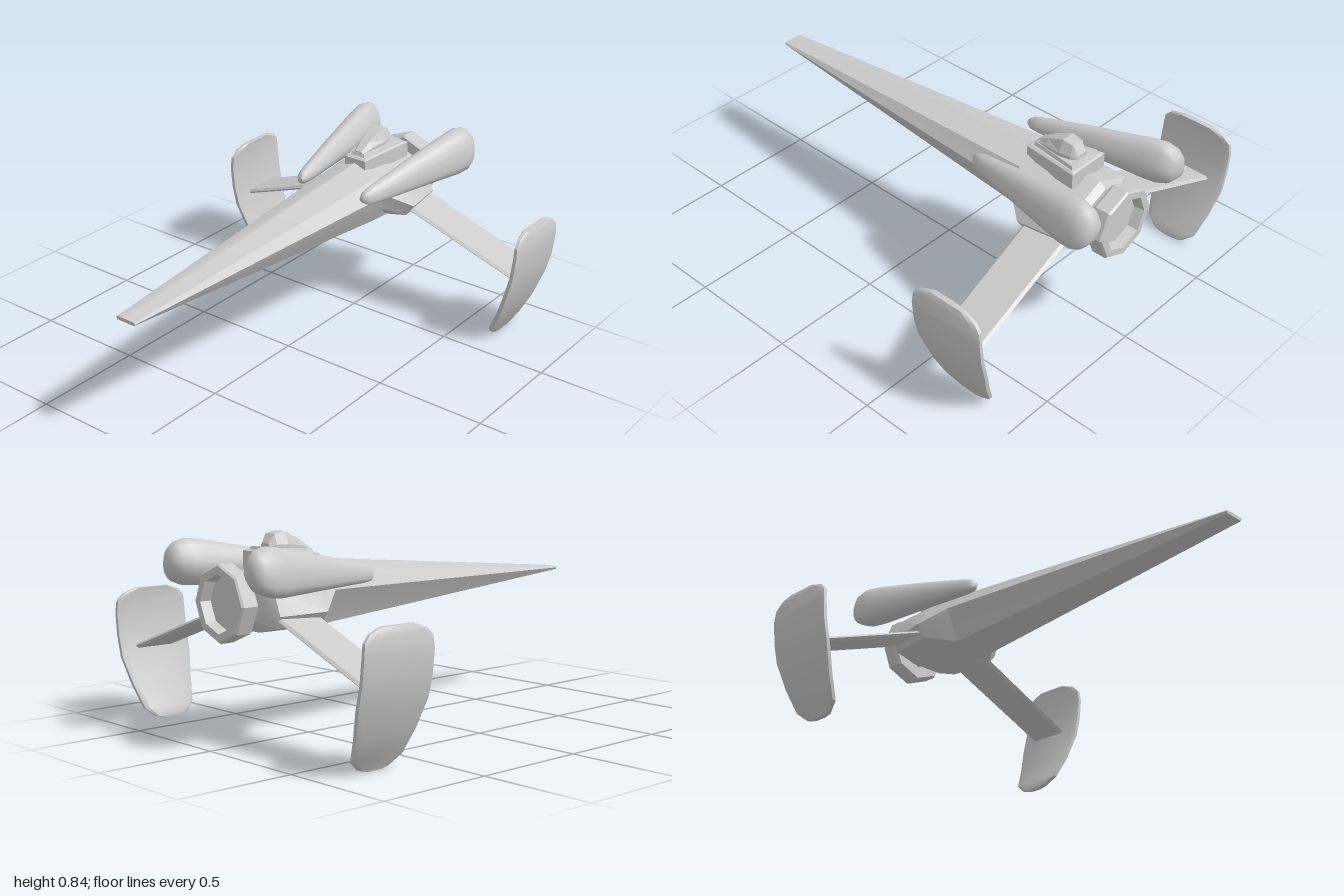
import * as THREE from 'three';
import { toCreasedNormals } from 'three/addons/utils/BufferGeometryUtils.js';

const material = new THREE.MeshStandardMaterial({ color: 0xcccccc });

function addMesh(parent, name, geometry, crease = 0.5) {
  const mesh = new THREE.Mesh(toCreasedNormals(geometry, crease), material);
  mesh.name = name;
  parent.add(mesh);
  return mesh;
}

// Skin between rings of [x, y, z]; rings run counter-clockwise seen from the end the loft moves toward.
function loft(rings) {
  const n = rings[0].length, last = rings.length - 1;
  const positions = rings.flat(2), index = [];
  const centre = (ring) => [0, 1, 2].map((k) => ring.reduce((s, p) => s + p[k], 0) / n);
  positions.push(...centre(rings[0]), ...centre(rings[last]));
  const startCap = n * rings.length, endCap = startCap + 1;
  for (let j = 0; j < n; j++) {
    const k = (j + 1) % n;
    for (let i = 0; i < last; i++) {
      const a = i * n + j, b = i * n + k;
      index.push(a, b, b + n, a, b + n, a + n);
    }
    index.push(startCap, k, j, endCap, last * n + j, last * n + k);
  }
  const geometry = new THREE.BufferGeometry();
  geometry.setAttribute('position', new THREE.Float32BufferAttribute(positions, 3));
  geometry.setIndex(index);
  geometry.computeVertexNormals();
  return geometry;
}

// Builds a left (+x) part and its mirror image.
function addPair(parent, name, rings, crease) {
  const mirrored = rings.map((ring) => ring.map(([x, y, z]) => [-x, y, z]).reverse());
  addMesh(parent, name + 'Left', loft(rings), crease);
  addMesh(parent, name + 'Right', loft(mirrored), crease);
}

// Long tapered hull: half sections of [x, y] from keel to ridge, back to front
function addHull(group) {
  const sections = [
    [-0.84, [[0.05, 0.49], [0.1, 0.51], [0.13, 0.57], [0.1, 0.65], [0, 0.69]]],
    [-0.81, [[0.08, 0.46], [0.18, 0.485], [0.21, 0.535], [0.17, 0.64], [0, 0.715]]],
    [-0.6, [[0.1, 0.462], [0.205, 0.485], [0.245, 0.54], [0.17, 0.65], [0, 0.738]]],
    [-0.49, [[0.1, 0.468], [0.133, 0.539], [0.165, 0.61], [0.115, 0.685], [0, 0.728]]],
    [1, [[0.044, 0.572], [0.047, 0.576], [0.05, 0.58], [0.045, 0.586], [0, 0.588]]],
  ];
  const rings = sections.map(([z, half]) => [
    ...half.map(([x, y]) => [x, y, z]),
    ...half.slice(0, -1).reverse().map(([x, y]) => [-x, y, z]),
  ]);
  addMesh(group, 'hull', loft(rings), 0.45);
}

// Stepped cockpit tray and faceted canopy
function addCockpit(group) {
  const layers = [[0.68, 0], [0.748, 0], [0.754, 0.01], [0.754, 0.018], [0.768, 0.024]];
  const tray = layers.map(([y, inset]) => {
    const back = -0.75 + inset, front = -0.48 - inset;
    const corner = (z, x) => [x, y + (-0.48 - z) * 0.07, z];
    return [corner(back, -0.1 + inset), corner(front, -0.055 + inset),
      corner(front, 0.055 - inset), corner(back, 0.1 - inset)];
  });
  addMesh(group, 'cockpitTray', loft(tray), 0.2);

  // z, half width, top half width, shoulder height, top height
  const canopy = [
    [-0.715, 0.03, 0.02, 0.785, 0.8], [-0.69, 0.045, 0.028, 0.795, 0.838],
    [-0.64, 0.053, 0.03, 0.795, 0.846], [-0.56, 0.04, 0.022, 0.785, 0.81],
    [-0.505, 0.026, 0.015, 0.768, 0.775],
  ].map(([z, w, t, mid, top]) => [
    [w, 0.74, z], [w, mid, z], [t, top, z], [-t, top, z], [-w, mid, z], [-w, 0.74, z],
  ]);
  addMesh(group, 'canopy', loft(canopy), 0.2);
}

// Octagonal engine nozzle with neck and recessed outlet
function addEngine(group) {
  const profile = [[0.092, 0.78], [0.092, 0.868], [0.148, 0.868], [0.157, 0.88], [0.157, 0.942],
    [0.15, 0.95], [0.118, 0.95], [0.11, 0.905], [0, 0.905]].map(([r, y]) => new THREE.Vector2(r, y));
  const nozzle = new THREE.LatheGeometry(profile, 8);
  nozzle.rotateX(-Math.PI / 2);
  nozzle.translate(0, 0.577, 0);
  addMesh(group, 'engineNozzle', nozzle, 0.2);
}

// Teardrop pods: a skewed rounded section swept from the blunt tail to the slim front
function addPods(group) {
  const outline = new THREE.CatmullRomCurve3(
    [[1, -0.2], [0.72, 0.62], [0.2, 1], [-0.4, 0.98], [-0.85, 0.4], [-1, -0.2], [-0.5, -0.85], [0.15, -1], [0.85, -0.9]]
      .map(([x, y]) => new THREE.Vector3(x, y, 0)), true);
  const section = outline.getPoints(18).slice(0, -1);
  // z, centre x, centre y, radius x, radius y
  const rings = [
    [-1, 0.265, 0.728, 0.02, 0.025], [-0.99, 0.265, 0.727, 0.045, 0.055], [-0.965, 0.263, 0.724, 0.064, 0.08],
    [-0.92, 0.26, 0.72, 0.074, 0.094], [-0.86, 0.253, 0.714, 0.073, 0.093], [-0.6, 0.215, 0.692, 0.053, 0.065],
    [-0.36, 0.179, 0.668, 0.034, 0.037], [-0.32, 0.173, 0.664, 0.026, 0.029], [-0.3, 0.17, 0.662, 0.012, 0.014],
  ].map(([z, cx, cy, rx, ry]) => section.map((p) => [cx + p.x * rx, cy + p.y * ry, z]));
  addPair(group, 'pod', rings, 1);
}

// Thin drooping wings with bevelled leading and trailing edges
function addWings(group) {
  const rings = [[0.15, 0.535, -0.81, -0.605], [0.765, 0.308, -0.84, -0.645]].map(([x, y, back, front]) => [
    [x, y, back], [x, y - 0.011, back + 0.012], [x, y - 0.011, front - 0.012],
    [x, y, front], [x, y + 0.011, front - 0.012], [x, y + 0.011, back + 0.012],
  ].reverse());
  addPair(group, 'wing', rings, 0.3);
}

// Curved upright fins at the wing tips
function addFins(group) {
  // y, centre x, half depth, half thickness
  const rings = [
    [0.002, 0.655, 0.035, 0.011], [0.012, 0.656, 0.075, 0.014], [0.05, 0.673, 0.122, 0.017],
    [0.15, 0.72, 0.148, 0.018], [0.27, 0.762, 0.173, 0.017], [0.36, 0.784, 0.174, 0.016],
    [0.46, 0.795, 0.174, 0.015], [0.51, 0.793, 0.168, 0.014], [0.54, 0.789, 0.14, 0.014], [0.56, 0.784, 0.085, 0.012],
  ].map(([y, x, h, t]) => [
    [-h, -t * 0.5], [-h * 0.85, -t], [h * 0.85, -t], [h, -t * 0.5],
    [h, t * 0.5], [h * 0.85, t], [-h * 0.85, t], [-h, t * 0.5],
  ].map(([dz, dx]) => [x + dx, y, -0.735 + dz]));
  addPair(group, 'fin', rings, 0.6);
}

export function createModel() {
  const group = new THREE.Group();
  group.name = 'spacecraft';
  [addHull, addCockpit, addEngine, addPods, addWings, addFins].forEach((build) => build(group));
  return group;
}
